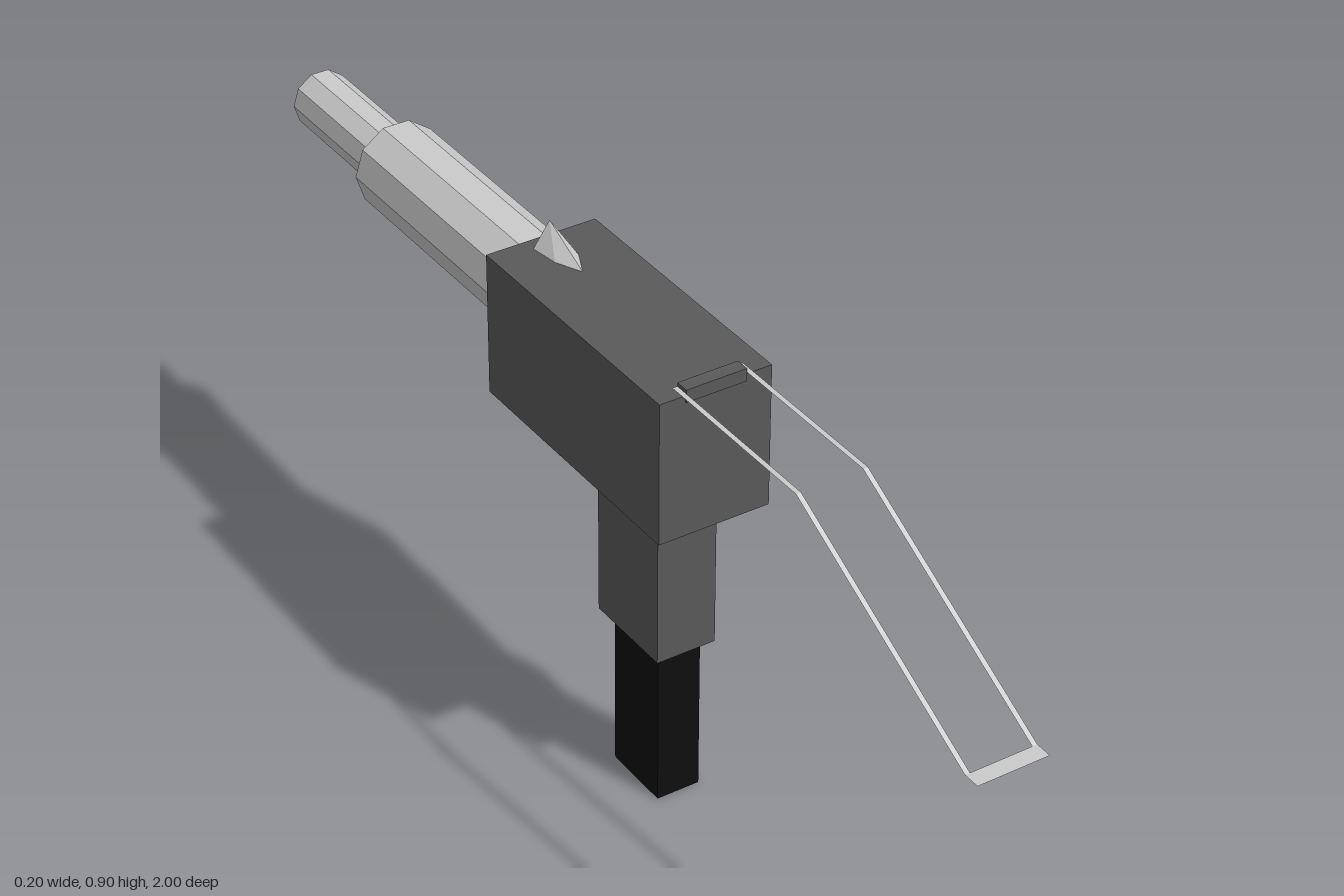
import * as THREE from 'three';
import { ConvexGeometry } from 'three/addons/geometries/ConvexGeometry.js';

const material = (color, side = THREE.FrontSide) =>
  new THREE.MeshStandardMaterial({ color, flatShading: true, side });

export function createModel() {
  const model = new THREE.Group();
  const grey = material(0xcccccc);
  const dark = material(0x5a5a5a);
  const black = material(0x0f0f0f);
  const sheet = material(0xcccccc, THREE.DoubleSide);

  const add = (name, geometry, mat) => {
    const mesh = new THREE.Mesh(geometry, mat);
    mesh.name = name;
    model.add(mesh);
    return mesh;
  };

  // Box symmetric about x = 0, given half width and y / z ranges
  const box = (name, halfX, [y0, y1], [z0, z1], mat) =>
    add(name, new THREE.BoxGeometry(2 * halfX, y1 - y0, z1 - z0), mat)
      .position.set(0, (y0 + y1) / 2, (z0 + z1) / 2);

  box('magazine', 0.04, [0, 0.3], [0.01, 0.14], black);
  box('grip', 0.055, [0.3, 0.597], [-0.015, 0.16], dark);
  box('receiver', 0.102, [0.597, 0.857], [-0.27, 0.235], dark);
  box('stockHinge', 0.055, [0.845, 0.868], [0.212, 0.237], dark);

  // Ten-sided barrel sections along z, a flat facing up and corners at the sides
  const barrel = (name, radius, z0, z1, mats) => {
    const geometry = new THREE.CylinderGeometry(radius, radius, z1 - z0, 10);
    geometry.rotateY(Math.PI / 2).rotateX(Math.PI / 2);
    add(name, geometry, mats).position.set(0, 0.76, (z0 + z1) / 2);
  };
  barrel('barrelShroud', 0.081, -0.735, -0.27, grey);
  barrel('muzzle', 0.054, -1, -0.735, [grey, grey, black]);

  // Front sight: half-cone with an upright rear face
  const sightBase = [[0.031, -0.245], [0.023, -0.19], [0, -0.14], [-0.023, -0.19], [-0.031, -0.245]];
  const sightPoints = sightBase.map(([x, z]) => new THREE.Vector3(x, 0.855, z));
  sightPoints.push(new THREE.Vector3(0, 0.902, -0.243));
  add('frontSight', new ConvexGeometry(sightPoints), grey);

  // Thin ribbon of given width, following a (z, y) path
  const ribbon = (name, x0, x1, path) => {
    const geometry = new THREE.PlaneGeometry(1, 1, 1, path.length - 1);
    const pos = geometry.attributes.position;
    path.forEach(([z, y], i) => {
      pos.setXYZ(2 * i, x0, y, z);
      pos.setXYZ(2 * i + 1, x1, y, z);
    });
    geometry.computeVertexNormals();
    add(name, geometry, sheet);
  };

  // Folding wire stock: two bent arms and a flat end plate
  const armPath = [[0.212, 0.861], [0.54, 0.861], [0.97, 0.632]];
  ribbon('leftStockArm', 0.055, 0.064, armPath);
  ribbon('rightStockArm', -0.064, -0.055, armPath);
  ribbon('stockEndPlate', -0.064, 0.064, [[0.97, 0.632], [1, 0.632]]);

  return model;
}
